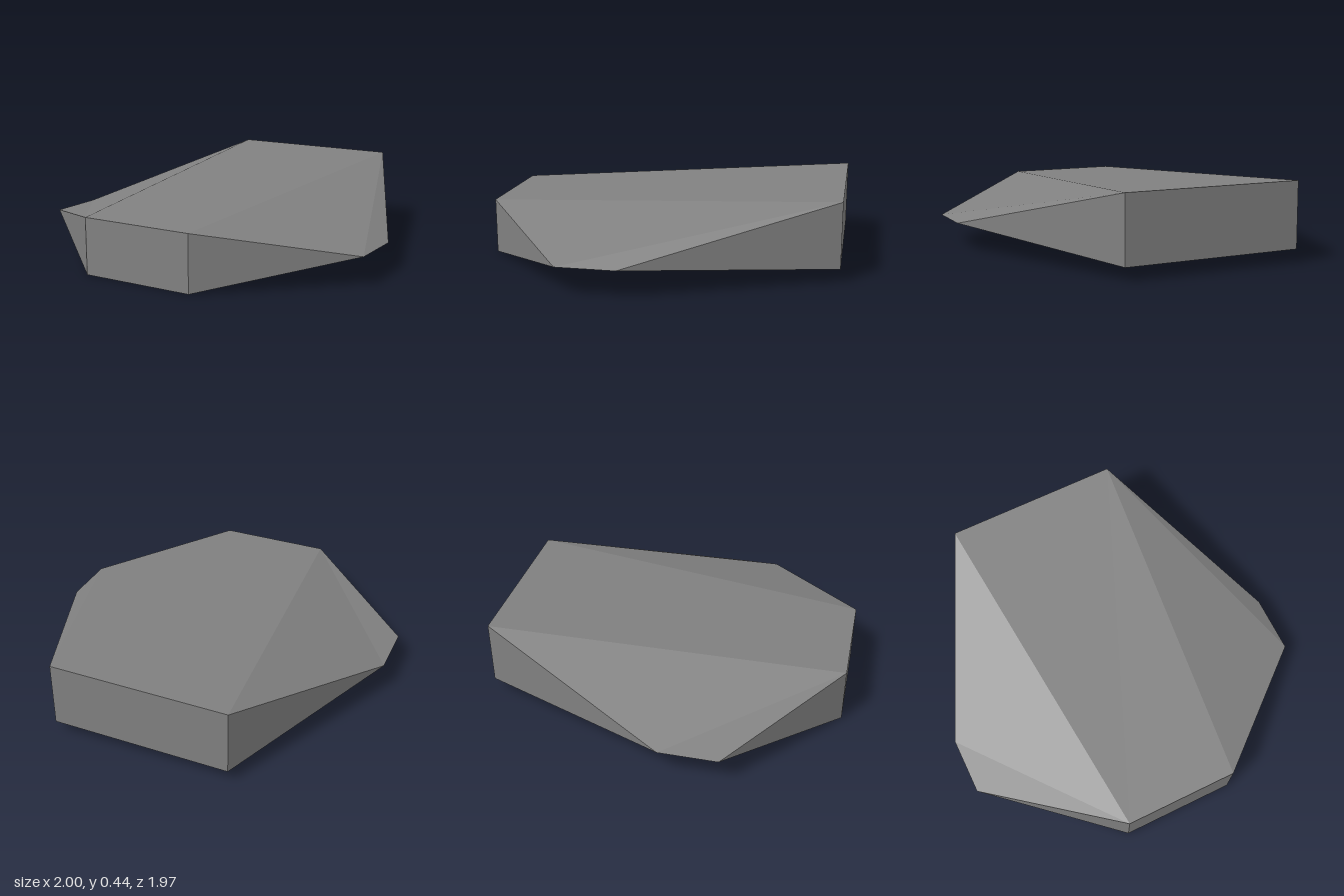
import * as THREE from 'three';

// Corner points of the left (+x) half; the right half mirrors them.
const corners = {
  frontTop: [0.32, 0.31, 0.985],
  frontBottom: [0.32, 0, 0.985],
  backTop: [0.5, 0.435, -0.985],
  backBottom: [0.5, 0.072, -0.985],
  sideFront: [1, 0.155, 0.42],
  sideBack: [1, 0.155, 0.1],
};

const left = (name) => corners[name];
const right = (name) => [-corners[name][0], corners[name][1], corners[name][2]];

// Flat-faced geometry from convex polygons, each fanned from its first corner.
function facetGeometry(polygons) {
  const positions = [];
  for (const p of polygons) {
    for (let i = 1; i < p.length - 1; i++) positions.push(...p[0], ...p[i], ...p[i + 1]);
  }
  const geometry = new THREE.BufferGeometry();
  geometry.setAttribute('position', new THREE.Float32BufferAttribute(positions, 3));
  geometry.computeVertexNormals();
  return geometry;
}

// Polygon spanning the width between two left-side corners.
const span = (a, b) => [right(a), left(a), left(b), right(b)];

export function createModel() {
  const group = new THREE.Group();
  group.name = 'facetedSlab';
  const grey = new THREE.MeshStandardMaterial({ color: 0x808080 });
  grey.name = 'grey';

  const add = (name, polygons) => {
    const mesh = new THREE.Mesh(facetGeometry(polygons), grey);
    mesh.name = name;
    group.add(mesh);
  };

  // Central body: top, back, bottom and front panels
  add('centralBody', [
    span('frontTop', 'backTop'),
    span('backTop', 'backBottom'),
    span('backBottom', 'frontBottom'),
    span('frontBottom', 'frontTop'),
  ]);

  // Facets shared by both flanks
  const flank = [
    ['frontTop', 'frontBottom', 'sideFront'],
    ['sideBack', 'backBottom', 'backTop'],
    ['sideFront', 'frontBottom', 'sideBack'],
    ['frontBottom', 'backBottom', 'sideBack'],
  ];

  // The upper slopes fold along opposite diagonals on the two sides
  const leftSlope = [['frontTop', 'sideFront', 'backTop'], ['sideFront', 'sideBack', 'backTop']];
  const rightSlope = [['frontTop', 'sideFront', 'sideBack'], ['frontTop', 'sideBack', 'backTop']];

  add('leftFlank', [...flank, ...leftSlope].map((f) => f.map(left)));
  add('rightFlank', [...flank, ...rightSlope].map((f) => f.map(right).reverse()));

  return group;
}
